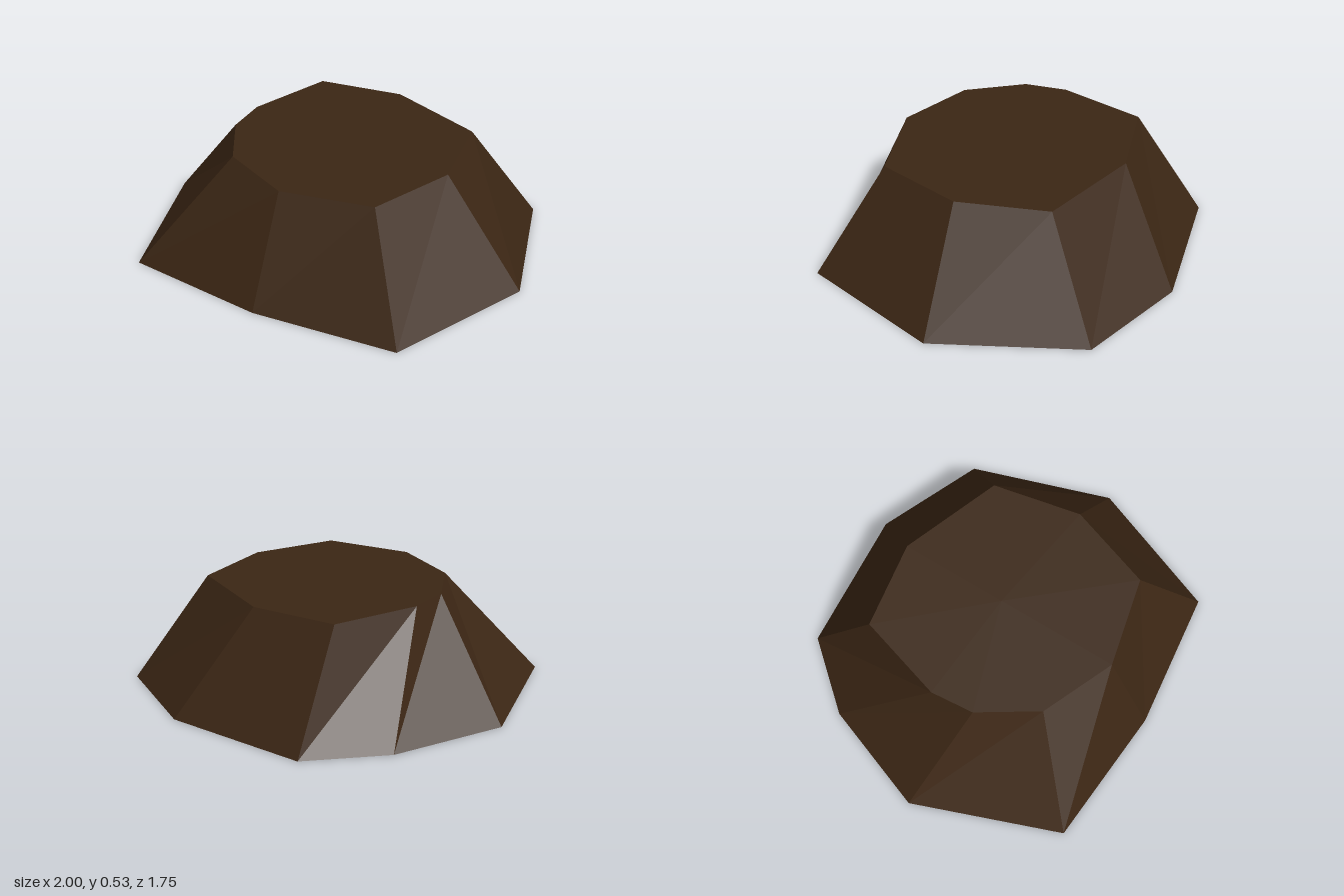
import * as THREE from 'three';

const HEIGHT = 0.53;

// Matching outlines as [x, z], clockwise seen from above
const BASE = [
  [-0.52, -0.82], [0.22, -0.88], [0.76, -0.65], [1, 0.08], [0.72, 0.79],
  [0, 0.87], [-0.72, 0.81], [-1, 0.07], [-0.8, -0.49],
];
const TOP = [
  [-0.44, -0.48], [0, -0.55], [0.51, -0.36], [0.6, 0.09], [0.45, 0.52],
  [0, 0.62], [-0.37, 0.46], [-0.55, 0.18], [-0.57, -0.04],
];

// Joins the two outlines with sloping sides and closes both ends
function moundGeometry() {
  const n = BASE.length;
  const positions = [];
  const ring = (outline, y) => outline.forEach(([x, z]) => positions.push(x, y, z));
  ring(BASE, 0);
  ring(TOP, HEIGHT);
  positions.push(0, 0, 0, 0, HEIGHT, 0);

  const baseCentre = 2 * n, topCentre = 2 * n + 1;
  const index = [];
  for (let i = 0; i < n; i++) {
    const j = (i + 1) % n;
    index.push(i, n + i, j, j, n + i, n + j); // side
    index.push(topCentre, n + j, n + i); // flat top
    index.push(baseCentre, i, j); // underside
  }
  const indexed = new THREE.BufferGeometry();
  indexed.setAttribute('position', new THREE.Float32BufferAttribute(positions, 3));
  indexed.setIndex(index);
  const geometry = indexed.toNonIndexed();
  geometry.computeVertexNormals();
  return geometry;
}

export function createModel() {
  const group = new THREE.Group();
  group.name = 'dirtMound';
  const material = new THREE.MeshStandardMaterial({ color: 0x3b2614, flatShading: true });
  const mound = new THREE.Mesh(moundGeometry(), material);
  mound.name = 'mound';
  group.add(mound);
  return group;
}
